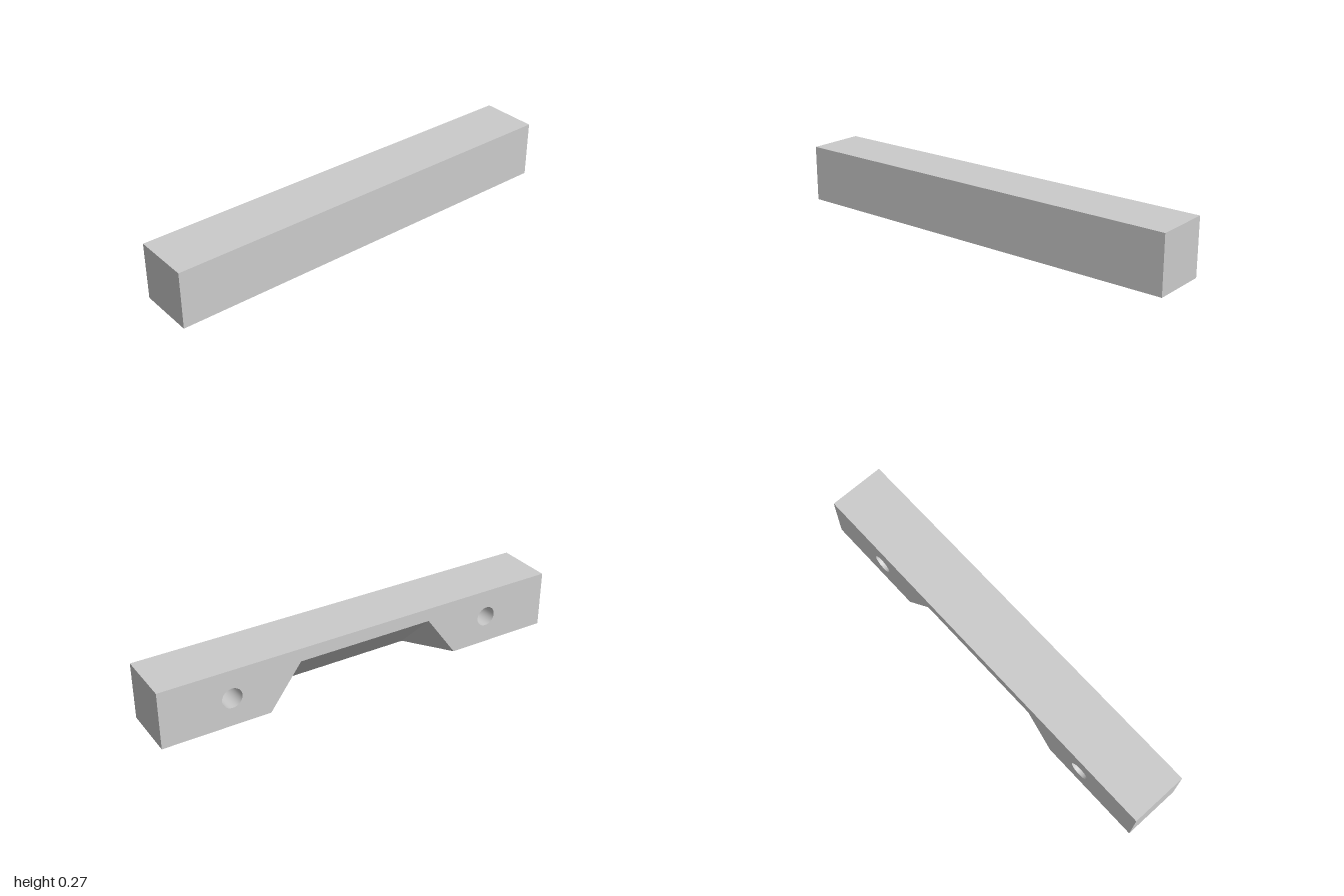
import * as THREE from 'three';

const H = 0.273, Z = H / 2;             // square bar section
const NX = 0.335, NE = 0.488;           // notch half length: inner, outer
const N = 0.21, NZ = -Z + N;            // notch height and its front edge
const HX = 0.668, HR = 0.048, HD = 0.2; // blind holes

const material = new THREE.MeshStandardMaterial({ color: 0xcccccc });
const insideMaterial = new THREE.MeshStandardMaterial({ color: 0xcccccc, side: THREE.BackSide });

// Flat convex face from corners listed counter-clockwise seen from outside
function face(corners) {
  const g = new THREE.BufferGeometry();
  g.setAttribute('position', new THREE.Float32BufferAttribute(corners.flat(), 3));
  const index = [];
  for (let i = 1; i < corners.length - 1; i++) index.push(0, i, i + 1);
  g.setIndex(index);
  g.computeVertexNormals();
  return g;
}

function outline(points) {
  return new THREE.Shape(points.map(([x, y]) => new THREE.Vector2(x, y)));
}

export function createModel() {
  const group = new THREE.Group();
  const add = (name, geometry, mat = material) => {
    const mesh = new THREE.Mesh(geometry, mat);
    mesh.name = name;
    group.add(mesh);
    return mesh;
  };

  // Plain faces of the bar
  add('topFace', face([[-1, H, Z], [1, H, Z], [1, H, -Z], [-1, H, -Z]]));
  add('frontFace', face([[-1, 0, Z], [1, 0, Z], [1, H, Z], [-1, H, Z]]));

  // Back face with the notch outline and two round holes
  const back = outline([[-1, 0], [-NE, 0], [-NX, N], [NX, N], [NE, 0], [1, 0], [1, H], [-1, H]]);
  for (const s of [-1, 1]) {
    back.holes.push(new THREE.Path().absarc(s * HX, H / 2, HR, 0, Math.PI * 2, true));
  }
  add('backFace', new THREE.ShapeGeometry(back, 16).rotateY(Math.PI).translate(0, 0, -Z));

  // Bottom face, cut by the notch along its back edge
  const bottom = outline([[-1, -Z], [-NE, -Z], [-NX, NZ], [NX, NZ], [NE, -Z], [1, -Z], [1, Z], [-1, Z]]);
  add('bottomFace', new THREE.ShapeGeometry(bottom).rotateX(Math.PI / 2));

  // Sloping wall of the notch
  add('notchSlope', face([[-NX, N, -Z], [NX, N, -Z], [NX, 0, NZ], [-NX, 0, NZ]]));

  // Mirrored ends: bar end, triangular notch end, blind hole
  for (const s of [-1, 1]) {
    const side = s > 0 ? 'left' : 'right';
    const mirrored = (corners) => face(s > 0 ? corners : corners.reverse());
    add(side + 'End', mirrored([[s, 0, Z], [s, 0, -Z], [s, H, -Z], [s, H, Z]]));
    add(side + 'NotchEnd', mirrored([[s * NE, 0, -Z], [s * NX, 0, NZ], [s * NX, N, -Z]]));

    const wall = new THREE.CylinderGeometry(HR, HR, HD, 32, 1, true).rotateX(Math.PI / 2);
    add(side + 'HoleWall', wall, insideMaterial).position.set(s * HX, H / 2, -Z + HD / 2);
    const floor = new THREE.CircleGeometry(HR, 32).rotateY(Math.PI);
    add(side + 'HoleFloor', floor).position.set(s * HX, H / 2, -Z + HD);
  }
  return group;
}
